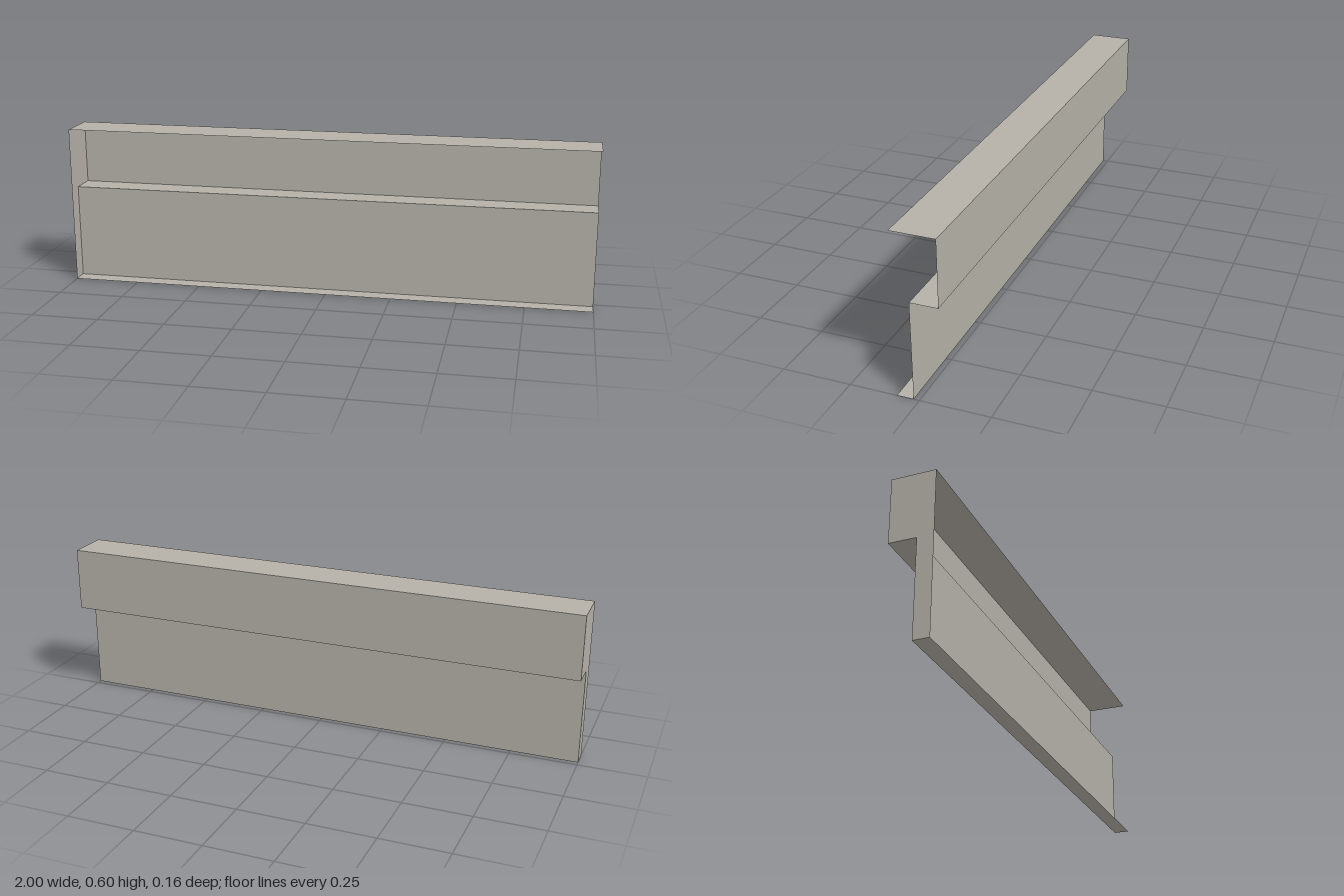
import * as THREE from 'three';

export function createModel() {
  const group = new THREE.Group();
  group.name = 'steppedFasciaTrim';
  const metal = new THREE.MeshStandardMaterial({ color: 0xb5b1a8, side: THREE.DoubleSide });
  metal.name = 'warm grey sheet';

  const add = (name, geometry) => {
    const mesh = new THREE.Mesh(geometry, metal);
    mesh.name = name;
    group.add(mesh);
    return mesh;
  };

  // Folded sheet profile as (z, y), from the top front edge round the back to the bottom lip
  const profile = [[0.08, 0.6], [-0.08, 0.6], [-0.08, 0.36], [0.02, 0.36], [0.02, 0], [0.08, 0]]
    .map(([z, y]) => new THREE.Vector2(z, y));
  const names = ['topPanel', 'upperBackPanel', 'stepPanel', 'lowerBackPanel', 'bottomLip'];

  // One flat panel per fold, with its outside facing out
  names.forEach((name, i) => {
    const a = profile[i], b = profile[i + 1];
    const panel = new THREE.PlaneGeometry(2, a.distanceTo(b));
    panel.rotateX(Math.atan2(b.x - a.x, b.y - a.y));
    add(name, panel).position.set(0, (a.y + b.y) / 2, (a.x + b.x) / 2);
  });

  // Closed end; the front and the opposite end stay open
  const cap = new THREE.ShapeGeometry(new THREE.Shape(profile));
  cap.rotateY(-Math.PI / 2);
  add('endCap', cap).position.x = -1;

  return group;
}
